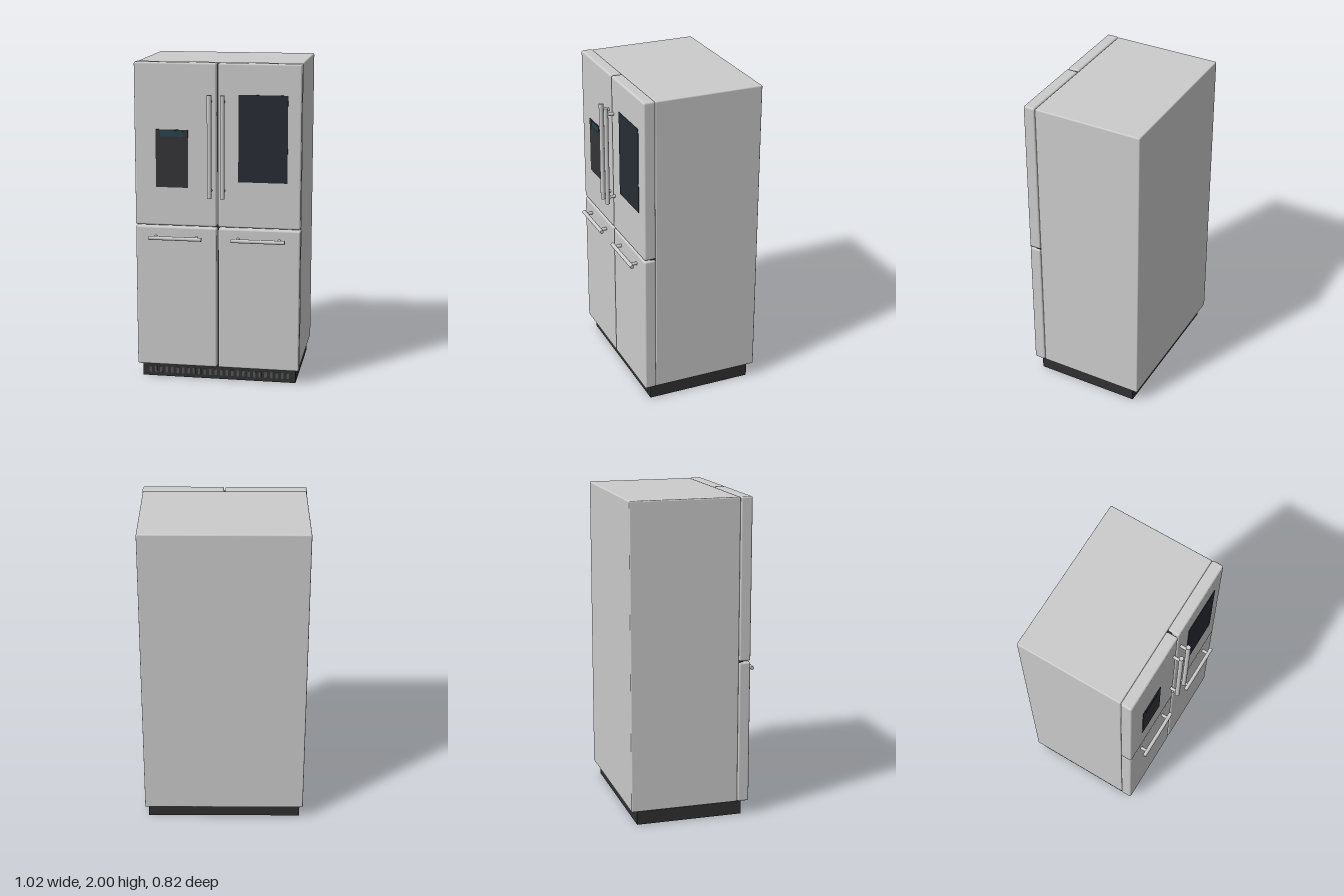
import * as THREE from 'three';
import { RoundedBoxGeometry } from 'three/addons/geometries/RoundedBoxGeometry.js';

const mat = (color) => new THREE.MeshStandardMaterial({ color });
const steel = mat(0xcccccc);
const dark = mat(0x303030);
const slat = mat(0x505254);
const panel = mat(0x343336);
const glass = mat(0x272c34);
const screen = mat(0x24434d);

export function createModel() {
  const model = new THREE.Group();

  const add = (parent, name, geometry, material, x, y, z) => {
    const mesh = new THREE.Mesh(geometry, material);
    mesh.name = name;
    mesh.position.set(x, y, z);
    parent.add(mesh);
    return mesh;
  };

  // Box given by its extents, with optional rounded edges
  const box = (name, material, [x0, x1], [y0, y1], [z0, z1], radius = 0) => {
    const size = [x1 - x0, y1 - y0, z1 - z0];
    const geometry = radius
      ? new RoundedBoxGeometry(...size, 3, radius)
      : new THREE.BoxGeometry(...size);
    return add(model, name, geometry, material, (x0 + x1) / 2, (y0 + y1) / 2, (z0 + z1) / 2);
  };

  // Bar handle along x or y, held off the door by two posts
  const handle = (name, axis, length, radius, postGap, x, y, z) => {
    const group = new THREE.Group();
    group.name = name;
    group.position.set(x, y, z);
    const bar = add(group, 'bar', new THREE.CylinderGeometry(radius, radius, length, 20), steel, 0, 0, 0);
    const depth = z - 0.34;
    for (const s of [-1, 1]) {
      const post = add(group, 'post', new THREE.CylinderGeometry(0.01, 0.01, depth, 16), steel, 0, s * postGap / 2, -depth / 2);
      post.rotation.x = Math.PI / 2;
    }
    bar.name = 'handleBar';
    if (axis === 'x') group.rotation.z = Math.PI / 2;
    model.add(group);
  };

  // Cabinet and recessed plinth
  box('cabinet', steel, [-0.508, 0.508], [0.09, 1.997], [-0.412, 0.27], 0.008);
  box('plinth', dark, [-0.488, 0.488], [0, 0.095], [-0.372, 0.3]);

  // Ventilation grille along the plinth
  const slats = 26;
  for (let i = 0; i < slats; i++) {
    const x = -0.44 + (0.88 * i) / (slats - 1);
    box('grilleSlat', slat, [x - 0.008, x + 0.008], [0.024, 0.062], [0.298, 0.303]);
  }

  // Dark seals behind the gaps between the doors
  box('verticalSeal', dark, [-0.013, 0.013], [0.1, 1.99], [0.265, 0.3]);
  box('horizontalSeal', dark, [-0.5, 0.5], [0.978, 1.003], [0.265, 0.3]);

  // Doors, drawers and their handles, mirrored
  for (const s of [-1, 1]) {
    const side = s > 0 ? 'left' : 'right';
    const span = s > 0 ? [0.004, 0.512] : [-0.512, -0.004];
    box(side + 'UpperDoor', steel, span, [0.994, 2], [0.27, 0.344], 0.012);
    box(side + 'LowerDoor', steel, span, [0.09, 0.987], [0.27, 0.344], 0.012);
    handle(side + 'UpperHandle', 'y', 0.63, 0.014, 0.545, s * 0.04, 1.497, 0.394);
    handle(side + 'LowerHandle', 'x', 0.33, 0.012, 0.255, s * 0.257, 0.922, 0.388);
  }

  // Water dispenser with display, and the glass panel
  box('dispenser', panel, [-0.38, -0.18], [1.235, 1.592], [0.335, 0.347]);
  box('dispenserDisplay', screen, [-0.35, -0.21], [1.55, 1.586], [0.34, 0.35]);
  box('glassPanel', glass, [0.13, 0.43], [1.28, 1.812], [0.335, 0.347]);

  return model;
}
